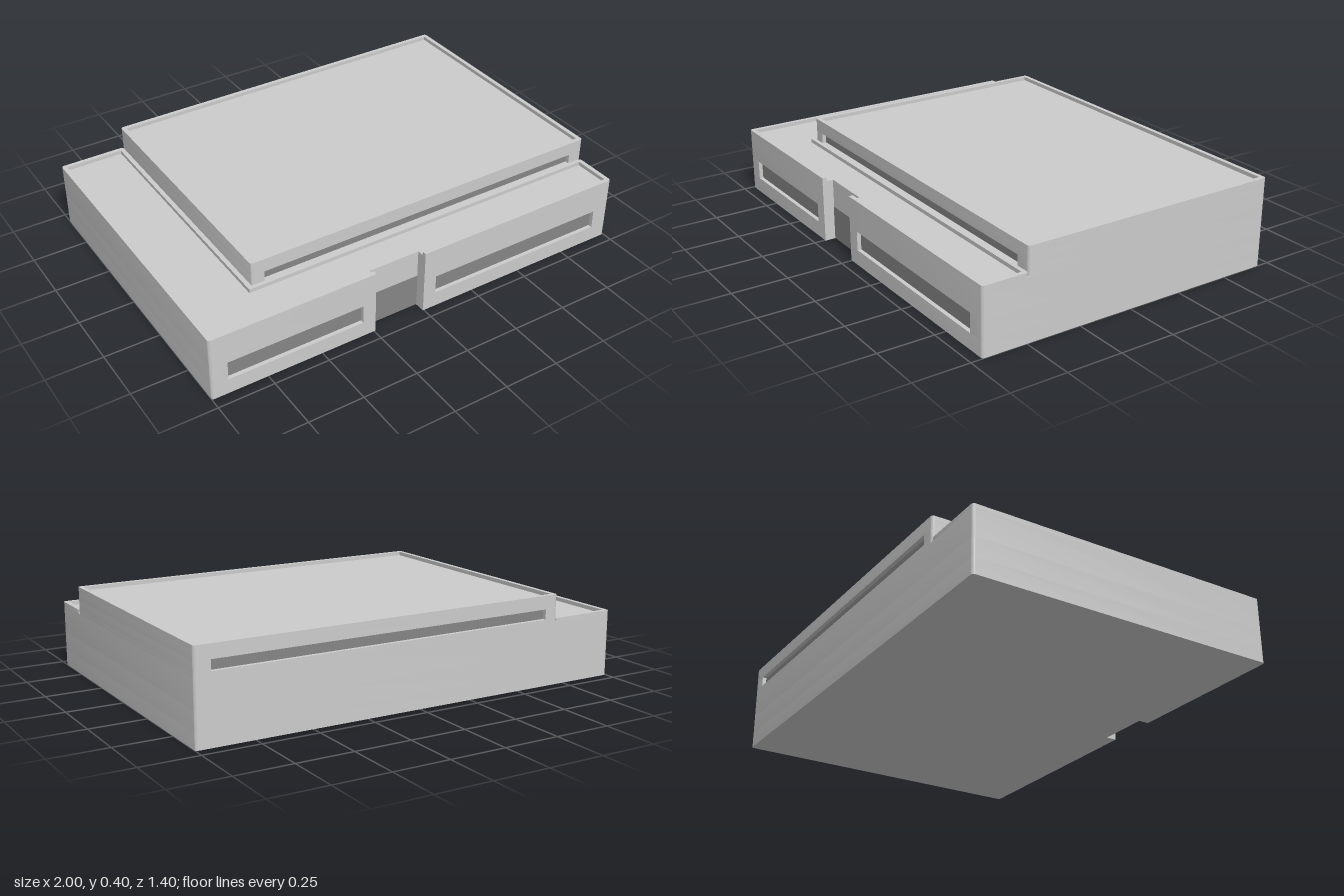
import * as THREE from 'three';
import { toCreasedNormals } from 'three/addons/utils/BufferGeometryUtils.js';

const wallMat = new THREE.MeshStandardMaterial({ color: 0xcccccc });
const glassMat = new THREE.MeshStandardMaterial({ color: 0x858585 });
const R = 0.013; // rounding of the vertical outer corners

// Plan outline from [x, z, radius] corners
function trace(path, corners) {
  const pts = corners.map(([x, z, r = 0]) => ({ p: new THREE.Vector2(x, -z), r }));
  pts.forEach(({ p, r }, i) => {
    const prev = pts[(i + pts.length - 1) % pts.length].p;
    const next = pts[(i + 1) % pts.length].p;
    const a = p.clone().add(prev.clone().sub(p).setLength(r));
    const b = p.clone().add(next.clone().sub(p).setLength(r));
    if (i === 0) path.moveTo(a.x, a.y);
    else path.lineTo(a.x, a.y);
    if (r > 0) path.quadraticCurveTo(p.x, p.y, b.x, b.y);
  });
  path.closePath();
  return path;
}

// Horizontal layer of the building between two heights
function layer(name, corners, y0, y1, hole) {
  const shape = trace(new THREE.Shape(), corners);
  if (hole) shape.holes.push(trace(new THREE.Path(), hole));
  const geo = new THREE.ExtrudeGeometry(shape, { depth: y1 - y0, bevelEnabled: false, curveSegments: 4 });
  geo.rotateX(-Math.PI / 2).translate(0, y0, 0);
  const mesh = new THREE.Mesh(toCreasedNormals(geo, 0.6), wallMat);
  mesh.name = name;
  return mesh;
}

// Rectangle in plan, with recesses [x0, x1, depth] cut in its front and back
function plan(x0, x1, z0, z1, r, front = [], back = []) {
  const f = front.flatMap(([a, b, d]) => [[a, z1], [a, z1 - d], [b, z1 - d], [b, z1]]);
  const k = back.flatMap(([a, b, d]) => [[b, z0], [b, z0 + d], [a, z0 + d], [a, z0]]);
  return [[x0, z0, r], [x0, z1, r], ...f, [x1, z1, r], [x1, z0, r], ...k];
}

function glass(name, x0, x1, y0, y1, z) {
  const mesh = new THREE.Mesh(new THREE.BoxGeometry(x1 - x0, y1 - y0, 0.004), glassMat);
  mesh.position.set((x0 + x1) / 2, (y0 + y1) / 2, z);
  mesh.name = name;
  return mesh;
}

export function createModel() {
  const model = new THREE.Group();
  const inset = 0.02, rim = 0.02;
  const door = [-0.245, -0.005, 0.05];
  const winL = [-0.925, -0.305, inset];
  const winR = [0.055, 0.92, inset];
  const strip = [-0.64, 0.93, inset];

  // Ground floor: sill, window band and lintel, with the entrance bay cut through
  const ground = new THREE.Group();
  ground.name = 'groundFloor';
  const base = (front) => plan(-1, 1, -0.7, 0.7, R, front);
  ground.add(
    layer('groundSill', base([door]), 0, 0.07),
    layer('groundWindowBand', base([winL, door, winR]), 0.07, 0.155),
    layer('groundLintel', base([door]), 0.155, 0.278),
    glass('frontWindowRight', winL[0], winL[1], 0.07, 0.155, 0.7 - inset),
    glass('frontWindowLeft', winR[0], winR[1], 0.07, 0.155, 0.7 - inset),
    glass('entranceDoor', door[0], door[1], 0.001, 0.152, 0.65)
  );

  // Parapet around the L-shaped lower roof, open at the entrance bay
  ground.add(layer('lowerParapet', [
    [door[0], 0.7], [-1, 0.7, R], [-1, -0.7, R], [-0.7, -0.7, R], [-0.7, 0.497],
    [1, 0.497, R], [1, 0.7, R], [door[1], 0.7],
    [door[1], 0.68], [0.98, 0.68], [0.98, 0.515], [-0.72, 0.515],
    [-0.72, -0.68], [-0.98, -0.68], [-0.98, 0.68], [door[0], 0.68]
  ], 0.278, 0.295));

  // Upper floor with strip windows at front and back
  const upper = new THREE.Group();
  upper.name = 'upperFloor';
  const top = (cuts) => plan(-0.7, 1, -0.7, 0.497, R, cuts, cuts);
  upper.add(
    layer('upperSill', top([]), 0.278, 0.295),
    layer('upperWindowBand', top([strip]), 0.295, 0.34),
    layer('upperLintel', top([]), 0.34, 0.383),
    layer('upperParapet', top([]), 0.383, 0.4,
      plan(-0.7 + rim, 1 - rim, -0.7 + rim, 0.497 - rim, 0)),
    glass('upperFrontWindow', strip[0], strip[1], 0.295, 0.34, 0.497 - inset),
    glass('upperBackWindow', strip[0], strip[1], 0.295, 0.34, -0.7 + inset)
  );

  model.add(ground, upper);
  return model;
}
